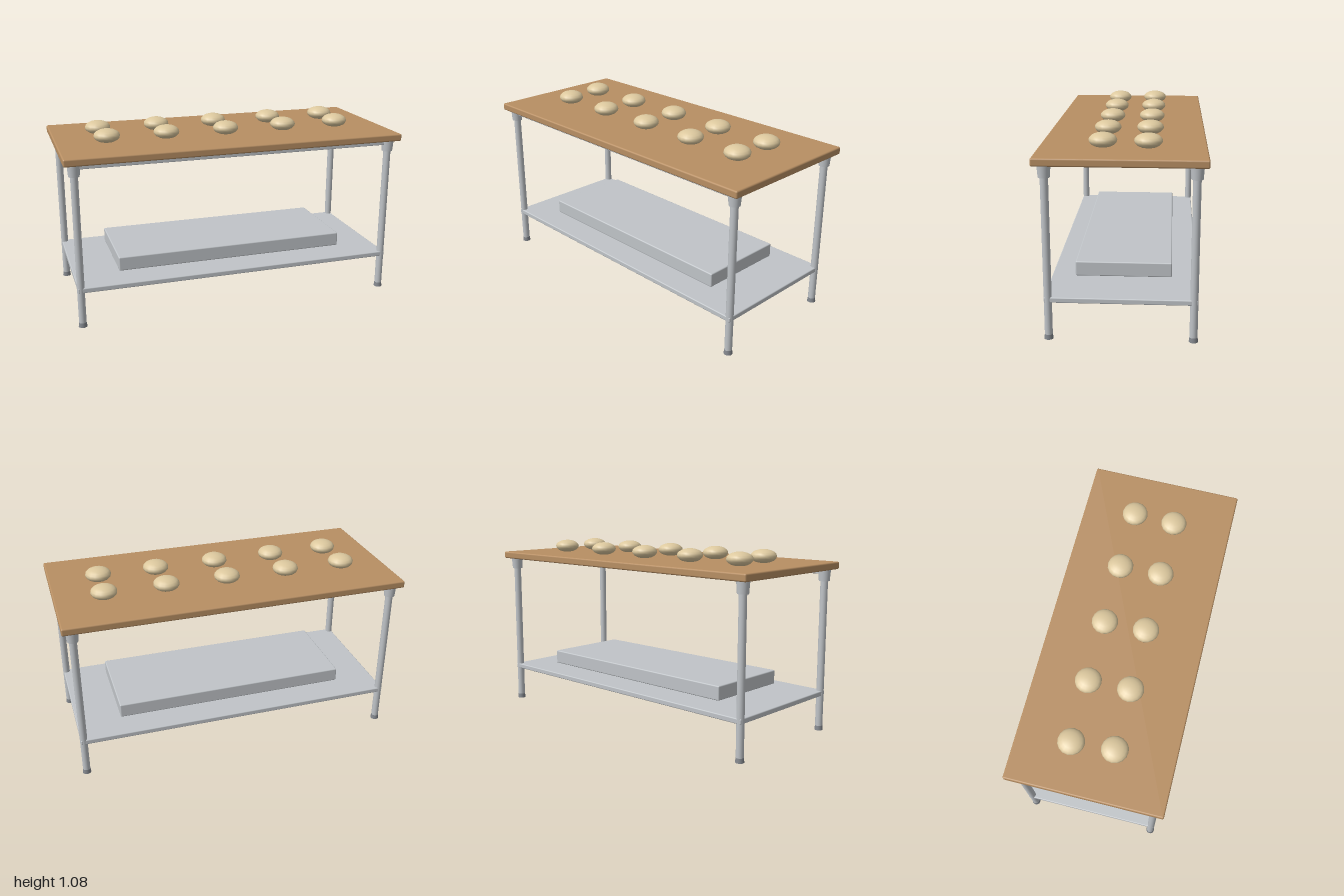
import * as THREE from 'three';
import { RoundedBoxGeometry } from 'three/addons/geometries/RoundedBoxGeometry.js';

const material = (name, color) => {
  const m = new THREE.MeshStandardMaterial({ color });
  m.name = name;
  return m;
};

export function createModel() {
  const wood = material('wood', 0xb88f63);
  const steel = material('steel', 0xc0c4c8);
  const rubber = material('foot grey', 0x82868c);
  const dough = material('dough', 0xdcc89e);

  const model = new THREE.Group();
  model.name = 'workTable';

  const add = (parent, name, geometry, mat, x, y, z) => {
    const mesh = new THREE.Mesh(geometry, mat);
    mesh.name = name;
    mesh.position.set(x, y, z);
    parent.add(mesh);
    return mesh;
  };
  // Rounded slab given by its size and the height of its underside
  const slab = (name, mat, w, h, d, bottom, radius, z = 0) =>
    add(model, name, new RoundedBoxGeometry(w, h, d, 3, radius), mat, 0, bottom + h / 2, z);

  slab('tableTop', wood, 2, 0.043, 0.89, 0.957, 0.009);
  slab('lowerShelf', steel, 1.914, 0.03, 0.81, 0.21, 0.006);
  slab('storageTray', steel, 1.396, 0.084, 0.533, 0.26, 0.007);
  // Single rail under the front edge
  slab('frontRail', steel, 1.86, 0.03, 0.03, 0.929, 0.004, 0.385);

  // Legs with a tapered socket on top and a foot below
  const tube = new THREE.CylinderGeometry(0.0215, 0.0215, 0.93, 20);
  const socket = new THREE.CylinderGeometry(0.036, 0.031, 0.068, 20);
  const foot = new THREE.CylinderGeometry(0.0205, 0.025, 0.034, 20);
  for (const sx of [-1, 1]) {
    for (const sz of [-1, 1]) {
      const leg = new THREE.Group();
      leg.name = `${sz > 0 ? 'front' : 'back'}${sx > 0 ? 'Left' : 'Right'}Leg`;
      leg.position.set(sx * 0.94, 0, sz * 0.385);
      add(leg, 'legTube', tube, steel, 0, 0.49, 0);
      add(leg, 'legSocket', socket, steel, 0, 0.924, 0);
      add(leg, 'legFoot', foot, rubber, 0, 0.017, 0);
      model.add(leg);
    }
  }

  // Two slightly uneven rows of flattened dough balls
  const ball = new THREE.SphereGeometry(1, 16, 10).scale(0.076, 0.04, 0.076);
  const rows = [
    [-0.134, [-0.725, -0.367, -0.003, 0.36, 0.72]],
    [0.106, [-0.71, -0.36, 0.003, 0.368, 0.713]],
  ];
  for (const [z, xs] of rows) {
    for (const x of xs) add(model, 'doughBall', ball, dough, x, 1.036, z);
  }

  return model;
}
